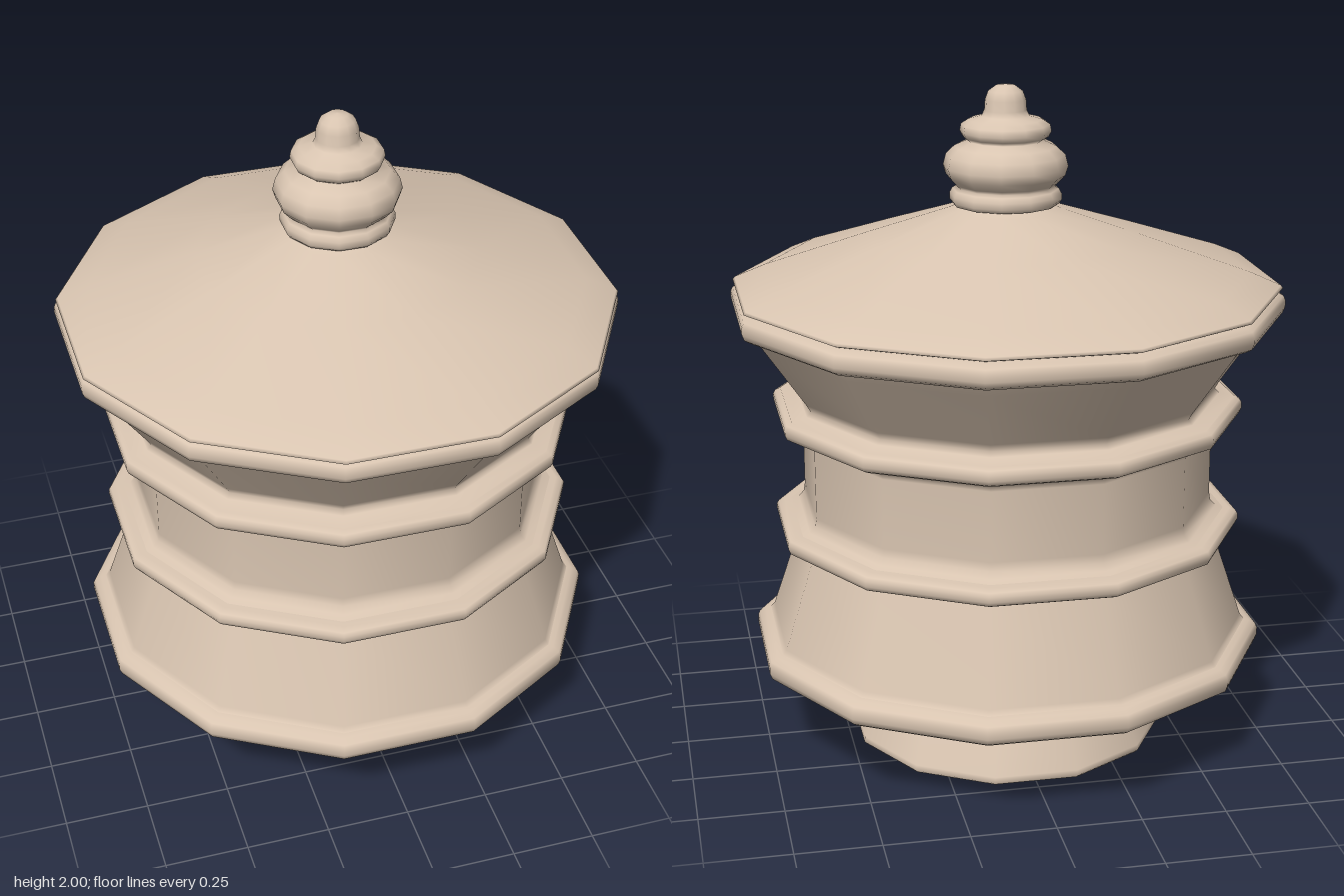
import * as THREE from 'three';

const SIDES = 12;
const FLAT = Math.cos(Math.PI / SIDES); // flat-to-corner ratio of a twelve-sided ring

export function createModel() {
  const group = new THREE.Group();
  const clay = new THREE.MeshStandardMaterial({ color: 0xd9c5b1 });
  clay.name = 'pale clay';

  // Turned part from [half width across flats, height] pairs, bottom to top
  const turned = (name, profile, parent) => {
    const pts = profile.map(([r, y]) => new THREE.Vector2(r / FLAT, y));
    const mesh = new THREE.Mesh(new THREE.LatheGeometry(pts, SIDES, Math.PI / SIDES), clay);
    mesh.name = name;
    parent.add(mesh);
    return mesh;
  };

  // Rounded band between two heights, standing out from inner to outer
  const band = (name, inner, outer, y0, y1) => {
    const h = y1 - y0;
    turned(name, [
      [inner, y0], [outer - 0.022, y0 + h * 0.08], [outer - 0.006, y0 + h * 0.2],
      [outer, y0 + h * 0.4], [outer, y0 + h * 0.65], [outer - 0.006, y0 + h * 0.82],
      [outer - 0.025, y0 + h * 0.95], [inner, y1],
    ], group);
  };

  // Jar body
  turned('base', [[0, 0], [0.46, 0]], group);
  turned('foot', [[0.46, 0], [0.468, 0.008], [0.466, 0.025], [0.415, 0.14], [0.408, 0.16]], group);
  turned('lowerFlare', [[0.408, 0.158], [0.43, 0.168], [0.715, 0.262], [0.735, 0.27]], group);
  band('lowerRim', 0.715, 0.756, 0.264, 0.35);
  turned('lowerBody', [[0.74, 0.338], [0.715, 0.35], [0.703, 0.365], [0.615, 0.635], [0.604, 0.66]], group);
  band('lowerRing', 0.6, 0.686, 0.655, 0.718);
  turned('waist', [
    [0.67, 0.708], [0.62, 0.722], [0.604, 0.74], [0.6, 0.765],
    [0.6, 0.975], [0.606, 0.995], [0.625, 1.007], [0.67, 1.018],
  ], group);
  band('upperRing', 0.61, 0.686, 1.008, 1.076);
  turned('upperBody', [[0.665, 1.072], [0.62, 1.082], [0.607, 1.095], [0.62, 1.118], [0.738, 1.295], [0.755, 1.322]], group);
  band('mouthRim', 0.74, 0.8, 1.318, 1.4);
  turned('mouth', [[0.765, 1.396], [0, 1.396]], group);

  // Lid, set slightly forward on the rim
  const lid = new THREE.Group();
  lid.name = 'lid';
  lid.position.set(-0.002, 0, 0.013);
  group.add(lid);
  turned('lidUnderside', [[0, 1.401], [0.785, 1.401]], lid);
  turned('lidCone', [
    [0.785, 1.401], [0.794, 1.405], [0.788, 1.413], [0.7, 1.452],
    [0.4, 1.556], [0.16, 1.636], [0.13, 1.65],
  ], lid);
  turned('finial', [
    [0.13, 1.645], [0.152, 1.65], [0.16, 1.662], [0.16, 1.68], [0.152, 1.695], [0.14, 1.702],
    [0.15, 1.712], [0.17, 1.735], [0.178, 1.762], [0.17, 1.795], [0.145, 1.82], [0.108, 1.837],
    [0.122, 1.848], [0.13, 1.864], [0.126, 1.884], [0.105, 1.898], [0.068, 1.908],
    [0.06, 1.925], [0.058, 1.955], [0.049, 1.98], [0.028, 1.996], [0, 2],
  ], lid);

  return group;
}
